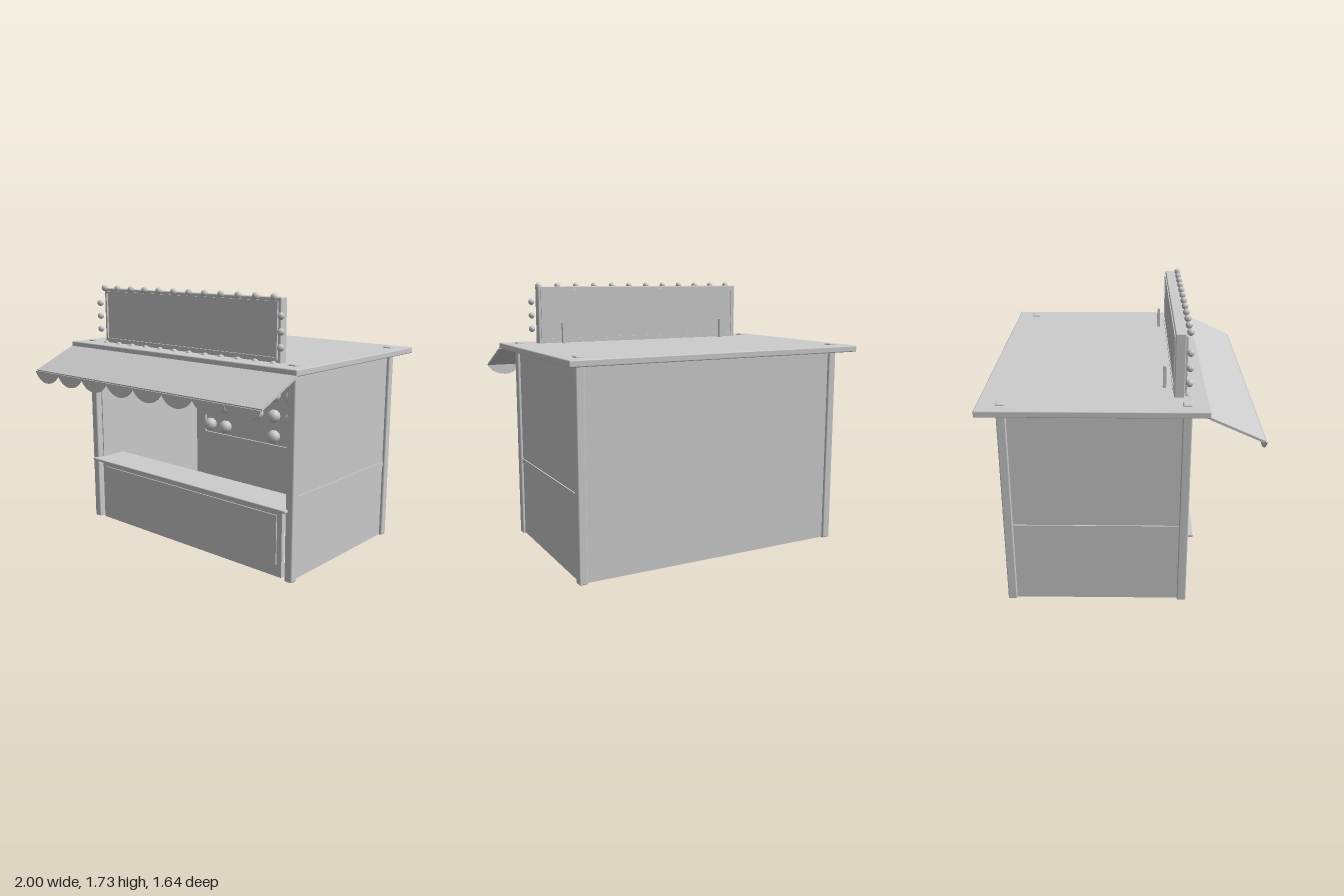
import * as THREE from 'three';
import { RoundedBoxGeometry } from 'three/addons/geometries/RoundedBoxGeometry.js';

export function createModel() {
  const model = new THREE.Group();
  const grey = new THREE.MeshStandardMaterial({ color: 0xcccccc });
  grey.name = 'plain grey';
  grey.side = THREE.DoubleSide;

  const add = (name, geometry, x = 0, y = 0, z = 0, parent = model) => {
    const mesh = new THREE.Mesh(geometry, grey);
    mesh.name = name;
    mesh.position.set(x, y, z);
    parent.add(mesh);
    return mesh;
  };
  // Box given by its limits, with an optional small bevel
  const box = (name, x0, x1, y0, y1, z0, z1, bevel = 0, parent = model) => {
    const size = [x1 - x0, y1 - y0, z1 - z0];
    const geometry = bevel ? new RoundedBoxGeometry(...size, 1, bevel) : new THREE.BoxGeometry(...size);
    return add(name, geometry, (x0 + x1) / 2, (y0 + y1) / 2, (z0 + z1) / 2, parent);
  };
  // Rectangular frame of four bars
  const frame = (name, w, y0, y1, bar, z0, z1) => {
    const group = new THREE.Group();
    group.name = name;
    model.add(group);
    box('bottomBar', -w, w, y0, y0 + bar, z0, z1, 0, group);
    box('topBar', -w, w, y1 - bar, y1, z0, z1, 0, group);
    for (const s of [-1, 1]) {
      const c = s * (w - bar / 2);
      box('sideBar', c - bar / 2, c + bar / 2, y0 + bar, y1 - bar, z0, z1, 0, group);
    }
  };

  // Corner posts, side walls, rails and sign props
  for (const s of [-1, 1]) {
    for (const z of [0.38, -0.682]) {
      add('cornerPost', new RoundedBoxGeometry(0.055, 1.335, 0.055, 1, 0.008), s * 0.893, 0.6675, z);
    }
    add('sideWall', new THREE.BoxGeometry(0.045, 1.275, 1.02), s * 0.88, 0.6425, -0.15);
    add('sideRail', new THREE.BoxGeometry(0.02, 0.03, 1.02), s * 0.9, 0.52, -0.15);
    add('signProp', new THREE.BoxGeometry(0.02, 0.14, 0.02), s * 0.623, 1.39, 0.257);
  }
  box('backWall', -0.87, 0.87, 0.005, 1.285, -0.695, -0.65);
  box('roof', -1, 1, 1.285, 1.325, -0.82, 0.505, 0.007);

  // Counter
  box('counterFront', -0.83, 0.83, 0.005, 0.445, 0.36, 0.39);
  box('counterPanel', -0.793, 0.793, 0.083, 0.402, 0.39, 0.398);
  box('counterShelf', -0.885, 0.885, 0.443, 0.461, 0.17, 0.44, 0.005);

  // Target board on the back wall
  box('targetBoard', -0.765, 0.765, 0.46, 1.18, -0.65, -0.625);
  frame('targetBoardFrame', 0.765, 0.46, 1.18, 0.042, -0.625, -0.61);

  // Rows of balloons, dots marking the popped ones
  const balloon = new THREE.SphereGeometry(0.052, 10, 8).rotateX(Math.PI / 2);
  ['ooooo.oo.', 'ooooooooo', 'ooooooooo', 'oo..o.ooo'].forEach((row, r) => {
    [...row].forEach((mark, c) => {
      if (mark === 'o') add('balloon', balloon, (c - 4) * 0.1625, 1.055 - r * 0.16, -0.59);
    });
  });

  // Sloping awning
  const dz = 0.31, dy = -0.14;
  const awning = add('awning', new THREE.BoxGeometry(2, 0.014, Math.hypot(dz, dy)), 0, 1.217, 0.655);
  awning.rotation.x = Math.atan2(-dy, dz);

  // Scalloped valance along the awning edge
  const shape = new THREE.Shape();
  const drop = 0.07, half = 0.125;
  const radius = (half * half + drop * drop) / (2 * drop);
  const swing = Math.asin(half / radius);
  shape.moveTo(-1, 1.147);
  shape.lineTo(1, 1.147);
  shape.lineTo(1, 1.14);
  for (let i = 7; i >= 0; i--) {
    const cx = -0.875 + i * 0.25;
    shape.absarc(cx, 1.14 - drop + radius, radius, -Math.PI / 2 + swing, -Math.PI / 2 - swing, true);
  }
  shape.closePath();
  const valance = new THREE.ExtrudeGeometry(shape, { depth: 0.009, bevelEnabled: false, curveSegments: 8 });
  add('valance', valance, 0, 0, 0.815);

  // Blank sign with raised trim on both faces
  box('signBoard', -0.78, 0.78, 1.32, 1.705, 0.308, 0.368, 0.006);
  frame('signFrontTrim', 0.762, 1.342, 1.685, 0.015, 0.366, 0.38);
  frame('signBackTrim', 0.762, 1.342, 1.685, 0.015, 0.302, 0.31);

  // Bulbs around the sign
  const bulb = new THREE.SphereGeometry(0.022, 8, 6);
  for (let i = 0; i < 12; i++) {
    const x = -0.748 + i * 0.136;
    add('topBulb', bulb, x, 1.708, 0.393);
    add('bottomBulb', bulb, x, 1.318, 0.393);
  }
  for (const s of [-1, 1]) {
    for (const y of [1.42, 1.511, 1.602]) add('sideBulb', bulb, s * 0.8, y, 0.393);
  }
  return model;
}
